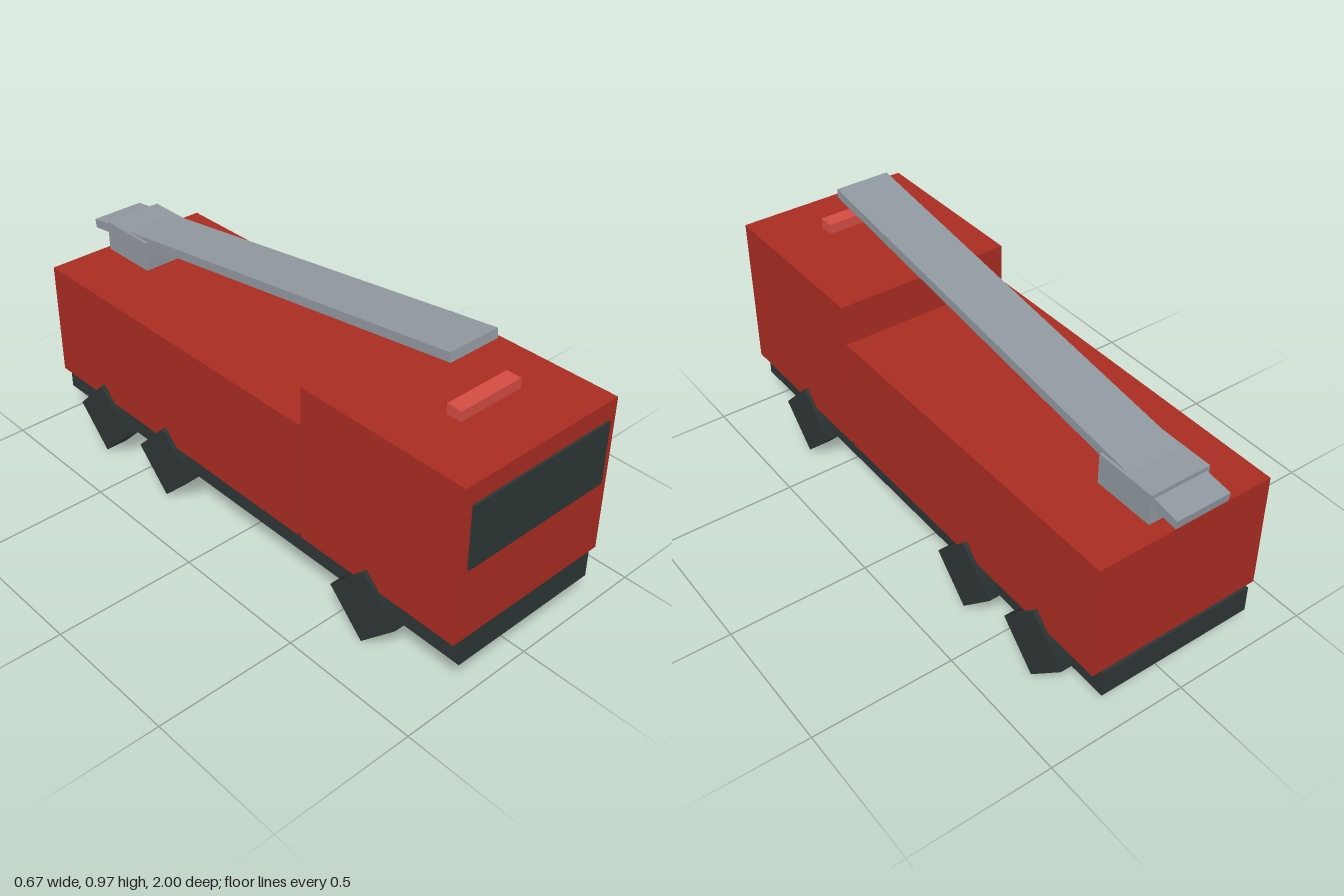
import * as THREE from 'three';

export function createModel() {
  const model = new THREE.Group();
  model.name = 'fireTruck';

  const material = (name, color) => {
    const m = new THREE.MeshStandardMaterial({ color });
    m.name = name;
    return m;
  };
  const red = material('red paint', 0xa82c22);
  const lampRed = material('lamp red', 0xd24c42);
  const grey = material('ladder grey', 0x90989f);
  const dark = material('dark rubber', 0x2d3635);

  const add = (name, geometry, mat, x, y, z) => {
    const mesh = new THREE.Mesh(geometry, mat);
    mesh.name = name;
    mesh.position.set(x, y, z);
    model.add(mesh);
    return mesh;
  };
  // Box centred on x = 0, given by its half width and its y and z ranges
  const box = (name, mat, halfWidth, y0, y1, z0, z1) =>
    add(name, new THREE.BoxGeometry(halfWidth * 2, y1 - y0, z1 - z0), mat, 0, (y0 + y1) / 2, (z0 + z1) / 2);

  // Body
  box('chassis', dark, 0.288, 0.127, 0.223, -0.96, 0.988);
  box('cab', red, 0.32, 0.223, 0.78, 0.347, 0.988);
  box('rearBody', red, 0.32, 0.223, 0.643, -0.95, 0.333);
  box('windscreen', dark, 0.288, 0.49, 0.712, 0.988, 0.997);

  // Roof equipment
  box('beacon', lampRed, 0.125, 0.797, 0.833, 0.735, 0.79);
  box('turntable', grey, 0.108, 0.66, 0.767, -0.905, -0.685);
  const ladder = add('ladder', new THREE.BoxGeometry(0.196, 0.032, 1.727), grey, 0, 0.841, -0.143);
  ladder.rotation.x = -0.137;

  // Four-sided wheels standing on a corner
  const wheel = new THREE.CylinderGeometry(0.139, 0.139, 0.086, 4).rotateZ(Math.PI / 2);
  for (const side of [1, -1]) {
    [0.638, -0.335, -0.69].forEach((z, i) =>
      add((side > 0 ? 'left' : 'right') + 'Wheel' + (i + 1), wheel, dark, side * 0.292, 0.139, z));
  }

  return model;
}
